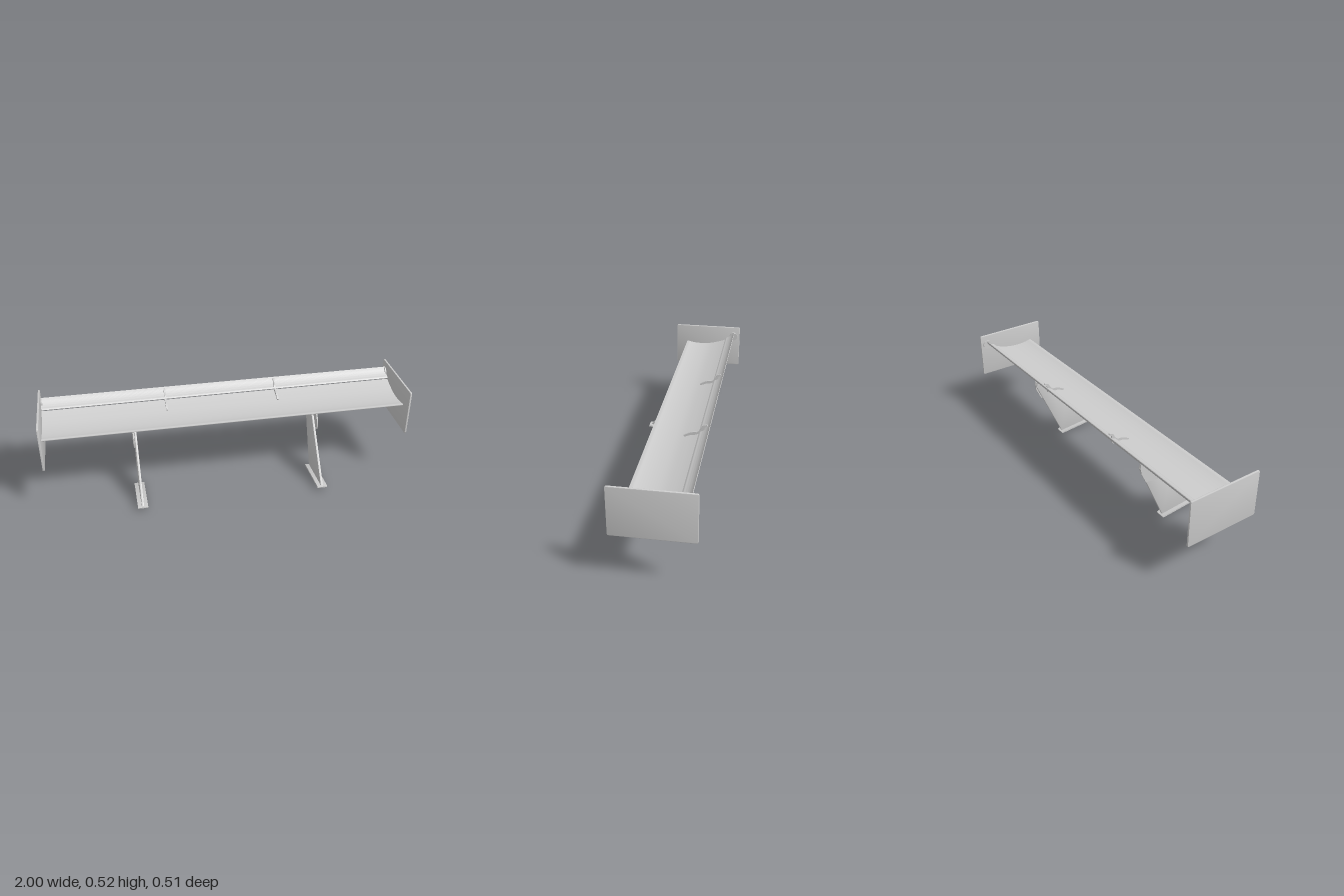
import * as THREE from 'three';
import { toCreasedNormals } from 'three/addons/utils/BufferGeometryUtils.js';

const material = new THREE.MeshStandardMaterial({ color: 0xcccccc, side: THREE.DoubleSide });

// Side profile given as [z, y] points, extruded along x and centred on cx.
function slab(name, shape, width, cx, bevel = 0) {
  const depth = width - 2 * bevel;
  const geo = new THREE.ExtrudeGeometry(shape, {
    depth, bevelEnabled: bevel > 0, bevelSize: bevel, bevelThickness: bevel,
    bevelOffset: -bevel, bevelSegments: 2, curveSegments: 8,
  });
  geo.translate(0, 0, -depth / 2);
  geo.rotateY(Math.PI / 2);
  geo.translate(cx, 0, 0);
  const mesh = new THREE.Mesh(toCreasedNormals(geo, 0.6), material);
  mesh.name = name;
  return mesh;
}

const toVec = ([z, y]) => new THREE.Vector2(-z, y);
const polygon = (pts) => new THREE.Shape(pts.map(toVec));

// Thin section enclosed between smooth upper and lower curves.
function airfoil(upper, lower) {
  const smooth = (pts) => new THREE.SplineCurve(pts.map(toVec)).getPoints(20);
  return new THREE.Shape([...smooth(upper), ...smooth(lower).reverse()]);
}

function roundedRect(z0, z1, y0, y1, r) {
  const a = -z1, b = -z0, s = new THREE.Shape();
  s.moveTo(a + r, y0);
  s.lineTo(b - r, y0);
  s.quadraticCurveTo(b, y0, b, y0 + r);
  s.lineTo(b, y1 - r);
  s.quadraticCurveTo(b, y1, b - r, y1);
  s.lineTo(a + r, y1);
  s.quadraticCurveTo(a, y1, a, y1 - r);
  s.lineTo(a, y0 + r);
  s.quadraticCurveTo(a, y0, a + r, y0);
  return s;
}

export function createModel() {
  const model = new THREE.Group();
  model.name = 'rearWing';

  // Main plane, sagging in the middle
  model.add(slab('mainPlane', airfoil(
    [[0.091, 0.410], [0.085, 0.414], [0.05, 0.406], [0, 0.402], [-0.06, 0.406], [-0.12, 0.421], [-0.165, 0.437]],
    [[0.091, 0.409], [0.085, 0.405], [0.05, 0.397], [0, 0.392], [-0.06, 0.393], [-0.12, 0.41], [-0.165, 0.434]],
  ), 1.98, 0));

  // Steep rear flap above a narrow slot
  model.add(slab('flap', airfoil(
    [[-0.162, 0.444], [-0.168, 0.449], [-0.185, 0.457], [-0.205, 0.472], [-0.219, 0.489]],
    [[-0.162, 0.443], [-0.168, 0.439], [-0.188, 0.445], [-0.21, 0.464], [-0.221, 0.487]],
  ), 1.98, 0));

  for (const side of [-1, 1]) {
    // End plate with softened edges and its inner flap mount
    model.add(slab('endPlate', roundedRect(-0.255, 0.158, 0.263, 0.522, 0.009), 0.011, side * 0.9945, 0.003));
    const mount = new THREE.Mesh(new THREE.CylinderGeometry(0.026, 0.026, 0.008, 16), material);
    mount.name = 'flapMount';
    mount.rotation.z = Math.PI / 2;
    mount.position.set(side * 0.986, 0.462, -0.215);
    model.add(mount);

    // Raked strut
    model.add(slab('strut', polygon([
      [0.246, 0.028], [0.004, 0.007], [-0.11, 0.263], [-0.155, 0.365], [-0.145, 0.4], [-0.06, 0.394], [0.05, 0.263],
    ]), 0.013, side * 0.5, 0.003));

    // Foot sloping up towards the front
    model.add(slab('foot', polygon([
      [0.256, 0.024], [0.256, 0.029], [0.24, 0.031], [0.005, 0.01], [-0.005, 0.004], [-0.005, 0],
    ]), 0.055, side * 0.5));

    // Bracket blade on the outer side of the strut, with its flange under the wing
    model.add(slab('bracketBlade', polygon([
      [-0.155, 0.395], [-0.152, 0.34], [-0.12, 0.275], [-0.03, 0.264], [0.045, 0.278], [0.052, 0.3], [0.045, 0.335], [0, 0.393],
    ]), 0.007, side * 0.512));
    model.add(slab('bracketFlange', polygon([
      [0.01, 0.388], [0.01, 0.394], [-0.06, 0.395], [-0.12, 0.412], [-0.155, 0.43], [-0.155, 0.422], [-0.12, 0.404], [-0.06, 0.387],
    ]), 0.094, side * 0.512));

    // Curved link holding the slot between main plane and flap
    const path = new THREE.SplineCurve([
      [-0.205, 0.486], [-0.187, 0.476], [-0.178, 0.455], [-0.158, 0.437], [-0.125, 0.434], [-0.085, 0.416],
    ].map(toVec));
    const edge = (s) => path.getPoints(24).map((p, i) => {
      const t = path.getTangent(i / 24), w = s * (0.004 + 0.005 * Math.sin(Math.PI * i / 24));
      return new THREE.Vector2(p.x - t.y * w, p.y + t.x * w);
    });
    model.add(slab('slotLink', new THREE.Shape([...edge(1), ...edge(-1).reverse()]), 0.009, side * 0.313));

    // Small knob of the link behind the slot
    const knob = new THREE.Mesh(new THREE.CylinderGeometry(0.012, 0.012, 0.012, 14), material);
    knob.name = 'slotLinkKnob';
    knob.rotation.z = Math.PI / 2;
    knob.position.set(side * 0.313, 0.438, -0.178);
    model.add(knob);
  }
  return model;
}
